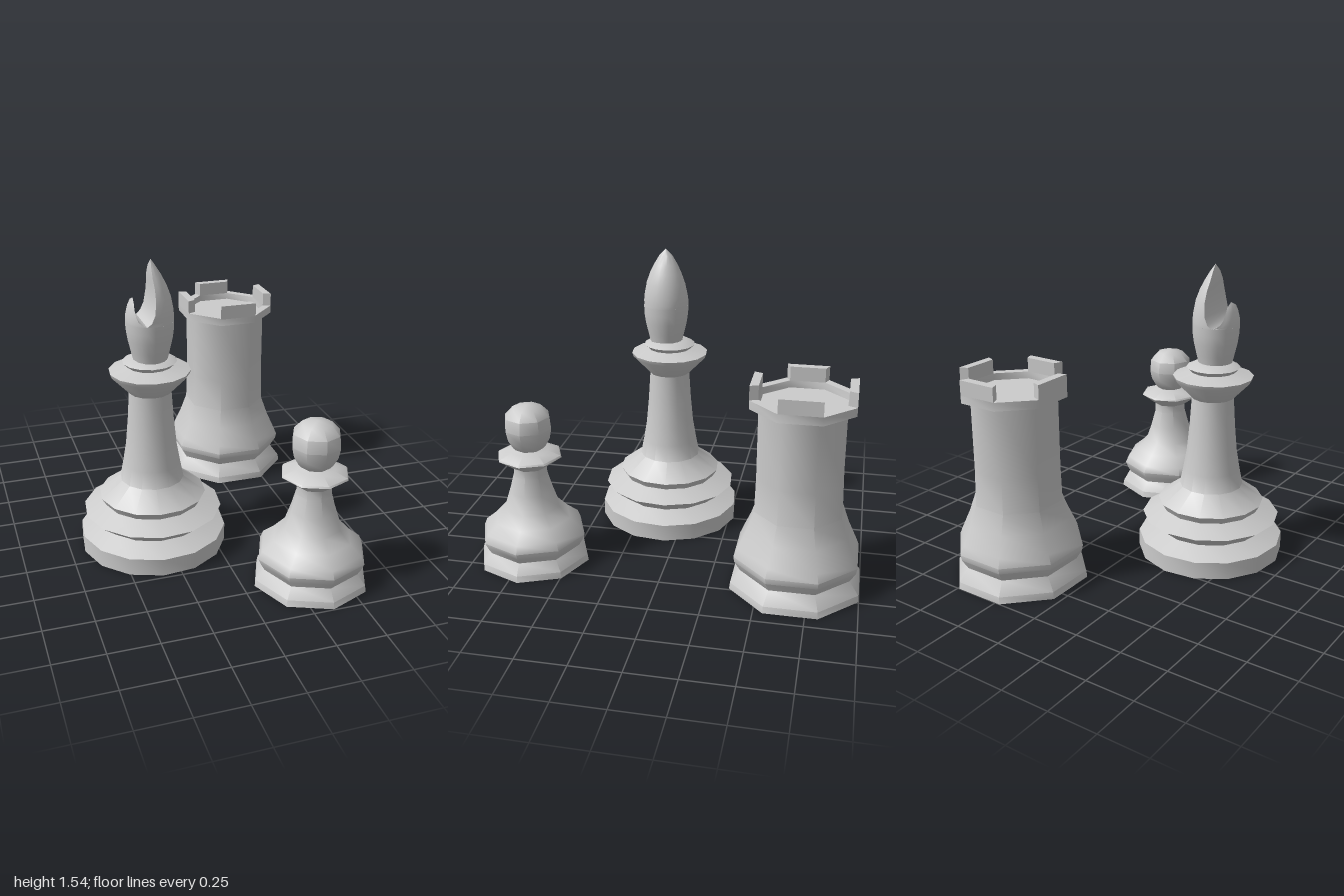
import * as THREE from 'three';
import { toCreasedNormals } from 'three/addons/utils/BufferGeometryUtils.js';

const material = new THREE.MeshStandardMaterial({ color: 0xcccccc, side: THREE.DoubleSide });

function addMesh(parent, name, geometry, crease = 0.8) {
  const mesh = new THREE.Mesh(toCreasedNormals(geometry, crease), material);
  mesh.name = name;
  parent.add(mesh);
  return mesh;
}

// Turned part from [radius, y] pairs; the foot stays open
function turned(profile, sides, phase = 0, scale = 1) {
  const pts = profile.map(([r, y]) => new THREE.Vector2(r * scale, y));
  return new THREE.LatheGeometry(pts, sides, phase);
}

// Half of the slit head: rows of [y, radius, slit x], each a circle cut by a chord
function prong(rows, side, n = 12) {
  const pos = [], index = [];
  for (const [y, r, d] of rows) {
    const half = Math.acos(THREE.MathUtils.clamp(side * d / r, -1, 1));
    const mid = side > 0 ? 0 : Math.PI;
    for (let i = 0; i <= n; i++) {
      const a = mid - half + 2 * half * i / n;
      pos.push(r * Math.cos(a), y, -r * Math.sin(a));
    }
  }
  const w = n + 1;
  for (let j = 0; j < rows.length - 1; j++) {
    for (let i = 0; i < w; i++) {
      const a = j * w + i, b = j * w + (i + 1) % w;
      index.push(a, b, b + w, a, b + w, a + w);
    }
  }
  const g = new THREE.BufferGeometry();
  g.setAttribute('position', new THREE.Float32BufferAttribute(pos, 3));
  g.setIndex(index);
  return g;
}

function makeRook() {
  const rook = new THREE.Group();
  rook.name = 'rook';
  // Octagonal tower with flared foot, collar and sunken floor
  const profile = [
    [0.32, 0], [0.316, 0.035], [0.27, 0.1], [0.298, 0.15], [0.303, 0.18], [0.285, 0.225],
    [0.245, 0.32], [0.212, 0.42], [0.207, 0.6], [0.207, 0.962], [0.25, 0.962],
    [0.25, 1.005], [0.208, 1.005], [0.205, 0.97], [0, 0.97],
  ];
  addMesh(rook, 'tower', turned(profile, 8, Math.PI / 8, 1 / Math.cos(Math.PI / 8)));
  // Four battlements with mitred ends
  const shape = new THREE.Shape([
    new THREE.Vector2(-0.086, 0.208), new THREE.Vector2(0.086, 0.208),
    new THREE.Vector2(0.1035, 0.25), new THREE.Vector2(-0.1035, 0.25),
  ]);
  for (let i = 0; i < 4; i++) {
    const g = new THREE.ExtrudeGeometry(shape, { depth: 0.077, bevelEnabled: false });
    g.rotateX(-Math.PI / 2).translate(0, 1, 0).rotateY(i * Math.PI / 2);
    addMesh(rook, 'battlement', g, 0.3);
  }
  return rook;
}

function makePawn() {
  const pawn = new THREE.Group();
  pawn.name = 'pawn';
  addMesh(pawn, 'pawnBody', turned([
    [0.294, 0], [0.288, 0.033], [0.245, 0.085], [0.262, 0.115], [0.277, 0.15], [0.26, 0.19],
    [0.2, 0.24], [0.145, 0.3], [0.115, 0.39], [0.09, 0.48], [0.09, 0.525],
    [0.17, 0.583], [0.165, 0.592], [0.1, 0.615], [0.07, 0.625],
  ], 8));
  addMesh(pawn, 'pawnHead', turned([
    [0.07, 0.62], [0.088, 0.64], [0.113, 0.685], [0.123, 0.735],
    [0.117, 0.8], [0.075, 0.845], [0, 0.86],
  ], 8));
  return pawn;
}

function makeBishop() {
  const bishop = new THREE.Group();
  bishop.name = 'bishop';
  // Stepped base, tapered stem and double collar
  addMesh(bishop, 'bishopBody', turned([
    [0.381, 0], [0.381, 0.09], [0.275, 0.136], [0.36, 0.205], [0.255, 0.25], [0.277, 0.288],
    [0.165, 0.372], [0.148, 0.46], [0.131, 0.56], [0.118, 0.7], [0.108, 0.852],
    [0.2, 0.948], [0.207, 0.968], [0.115, 0.992], [0.138, 1.015], [0.095, 1.037], [0, 1.037],
  ], 14, THREE.MathUtils.degToRad(18.9)));

  // Egg-shaped head, split above by a slit into a short and a tall prong
  const head = new THREE.Group();
  head.name = 'bishopHead';
  head.position.set(0, 0, 0.018);
  addMesh(head, 'headBase', turned([
    [0.086, 1.03], [0.098, 1.08], [0.112, 1.14], [0.119, 1.19], [0.12, 1.232],
  ], 20), 1);
  addMesh(head, 'shortProng', prong([
    [1.232, 0.12, -0.04], [1.24, 0.12, -0.06], [1.255, 0.119, -0.077], [1.275, 0.116, -0.085],
    [1.31, 0.107, -0.088], [1.335, 0.096, -0.086], [1.355, 0.082, -0.082],
  ], -1));
  addMesh(head, 'tallProng', prong([
    [1.232, 0.12, -0.04], [1.25, 0.12, -0.018], [1.29, 0.117, 0], [1.355, 0.105, 0.008],
    [1.41, 0.085, 0.008], [1.455, 0.063, 0.004], [1.5, 0.036, 0.005], [1.537, 0.011, 0.011],
  ], 1));
  bishop.add(head);
  return bishop;
}

export function createModel() {
  const model = new THREE.Group();
  model.name = 'chessPieces';
  const rook = makeRook(), pawn = makePawn(), bishop = makeBishop();
  rook.position.set(0.357, 0, -0.68);
  pawn.position.set(0.353, 0, 0.702);
  bishop.position.set(-0.3, 0, 0.102);
  model.add(rook, pawn, bishop);
  return model;
}
